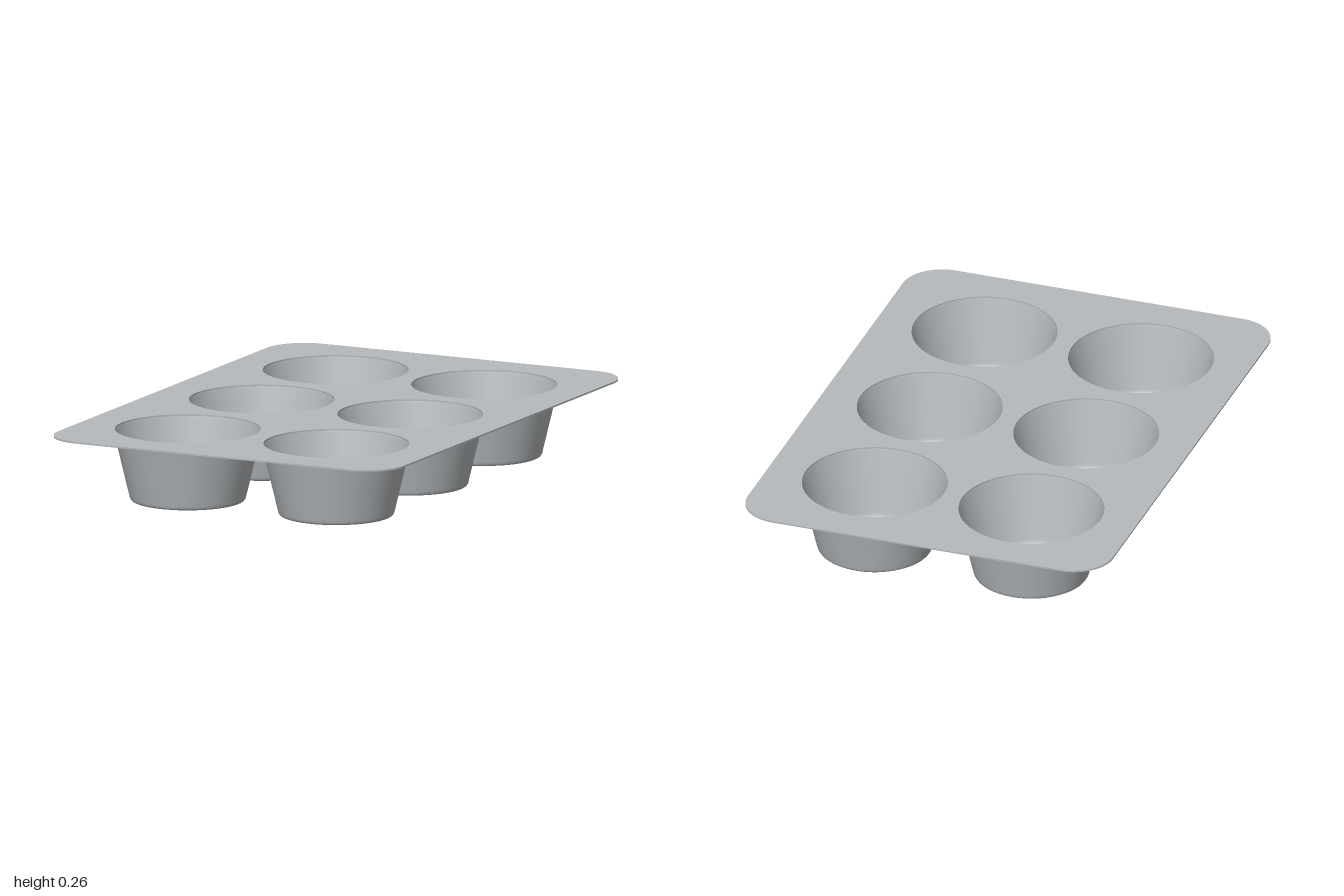
import * as THREE from 'three';
import { toCreasedNormals } from 'three/addons/utils/BufferGeometryUtils.js';

const HALF_X = 0.7, HALF_Z = 1, CORNER = 0.15;
const TOP = 0.261, SHEET = 0.006;   // height of the top face, sheet thickness
const HOLE = 0.264, SEGMENTS = 64;
const CENTRES = [-0.3, 0.3].flatMap(x => [-0.6, 0, 0.6].map(z => [x, z]));

// Flat rounded sheet with a round opening for every cup
function plateGeometry() {
  const shape = new THREE.Shape();
  const cx = HALF_X - CORNER, cz = HALF_Z - CORNER;
  shape.absarc(cx, cz, CORNER, 0, Math.PI / 2);
  shape.absarc(-cx, cz, CORNER, Math.PI / 2, Math.PI);
  shape.absarc(-cx, -cz, CORNER, Math.PI, Math.PI * 1.5);
  shape.absarc(cx, -cz, CORNER, Math.PI * 1.5, Math.PI * 2);
  shape.closePath();
  for (const [x, z] of CENTRES) {
    shape.holes.push(new THREE.Path().absarc(x, -z, HOLE, 0, Math.PI * 2, true));
  }
  const geometry = new THREE.ExtrudeGeometry(shape, {
    depth: SHEET, bevelEnabled: false, curveSegments: SEGMENTS / 2,
  });
  geometry.rotateX(-Math.PI / 2).translate(0, TOP - SHEET, 0);
  return toCreasedNormals(geometry, 0.6);
}

// Lathe from [radius, height] pairs
function turned(points) {
  const profile = points.map(([r, y]) => new THREE.Vector2(r, y));
  return new THREE.LatheGeometry(profile, SEGMENTS);
}

export function createModel() {
  const metal = new THREE.MeshStandardMaterial({ color: 0xb6babd });
  metal.name = 'brushed grey metal';

  const model = new THREE.Group();
  model.name = 'muffinTray';

  const plate = new THREE.Mesh(plateGeometry(), metal);
  plate.name = 'topPlate';
  model.add(plate);

  const rim = TOP - SHEET;
  // Outside skin: base, small rounded edge, flared wall
  const outside = turned([
    [0, 0], [0.199, 0], [0.203, 0.0005], [0.207, 0.003], [0.21, 0.008],
    [0.212, 0.016], [0.268, rim - 0.004], [0.27, rim],
  ]);
  // Inside skin: the same bowl seen from above, running rim to centre
  const inside = turned([
    [HOLE, rim], [0.262, rim - 0.006], [0.2065, 0.021], [0.2045, 0.013],
    [0.2015, 0.008], [0.198, 0.006], [0.194, 0.0055], [0, 0.0055],
  ]);

  CENTRES.forEach(([x, z], i) => {
    const cup = new THREE.Group();
    cup.name = `cup${i + 1}`;
    for (const [name, geometry] of [['cupOutside', outside], ['cupInside', inside]]) {
      const mesh = new THREE.Mesh(geometry, metal);
      mesh.name = name;
      cup.add(mesh);
    }
    cup.position.set(x, 0, z);
    model.add(cup);
  });

  return model;
}
